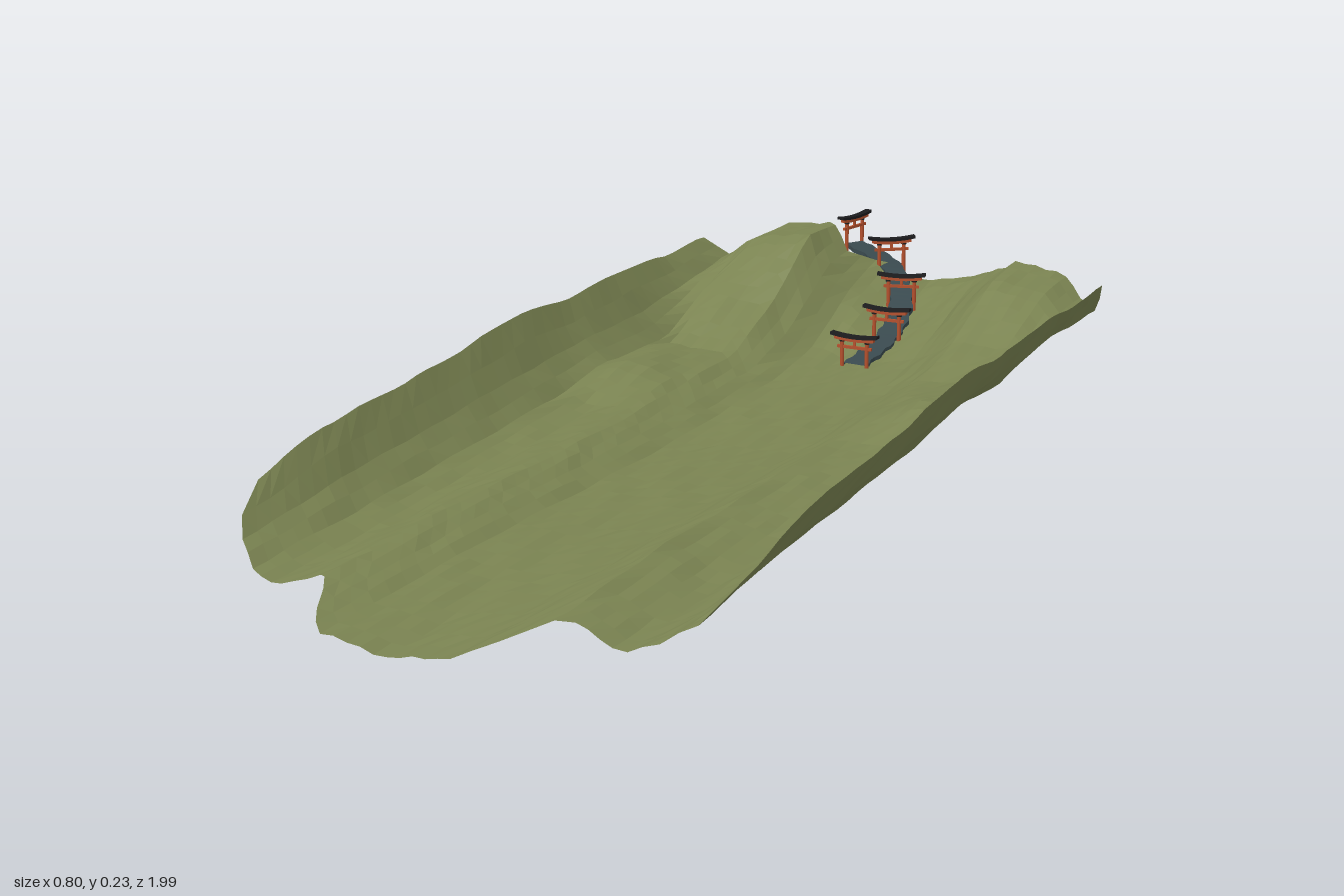
import * as THREE from 'three';

const mat = (color, extra = {}) => new THREE.MeshStandardMaterial({ color, ...extra });
const grass = mat(0x7b8452, { flatShading: true, side: THREE.DoubleSide });
const slate = mat(0x39494e, { flatShading: true, side: THREE.DoubleSide });
const red = mat(0xb5502c);
const black = mat(0x1b1b1d);

// Piecewise linear lookup
function lerpAt(xs, ys, x) {
  let i = 0;
  while (i < xs.length - 2 && x > xs[i + 1]) i++;
  const t = THREE.MathUtils.clamp((x - xs[i]) / (xs[i + 1] - xs[i]), 0, 1);
  return ys[i] + (ys[i + 1] - ys[i]) * t;
}

// Valley cross-sections, from edge to middle; mirrored unless a full row is given
const columns = [-0.4, -0.36, -0.32, -0.27, -0.18, -0.1, 0, 0.1, 0.18, 0.27, 0.32, 0.36, 0.4];
const mirror = (half) => [...half, ...half.slice(0, -1).reverse()];
const sections = [
  [-0.9, [0.18, 0.16, 0.195, 0.215, 0.22, 0.16, 0.12, 0.14, 0.185, 0.175, 0.14, 0.13, 0.17]],
  [-0.75, [0.2, 0.165, 0.195, 0.215, 0.225, 0.125, 0.075, 0.105, 0.175, 0.165, 0.14, 0.13, 0.2]],
  [-0.58, [0.2, 0.15, 0.14, 0.15, 0.13, 0.055, 0.05, 0.06, 0.11, 0.11, 0.11, 0.14, 0.2]],
  [-0.42, mirror([0.21, 0.14, 0.09, 0.088, 0.08, 0.043, 0.045])],
  [-0.2, mirror([0.205, 0.14, 0.105, 0.115, 0.08, 0.042, 0.043])],
  [-0.05, mirror([0.22, 0.14, 0.09, 0.075, 0.078, 0.042, 0.043])],
  [0.2, mirror([0.2, 0.13, 0.085, 0.07, 0.086, 0.052, 0.05])],
  [0.55, mirror([0.19, 0.12, 0.08, 0.062, 0.1, 0.07, 0.06])],
  [0.75, mirror([0.15, 0.105, 0.08, 0.065, 0.1, 0.075, 0.062])],
  [1.0, mirror([0.14, 0.1, 0.08, 0.07, 0.1, 0.08, 0.06])],
];
const rowZ = sections.map((s) => s[0]);
const height = (x, z) => lerpAt(rowZ, sections.map((s) => lerpAt(columns, s[1], x)), z);

// Scalloped outlines of the two ends
const backX = [-0.4, -0.32, -0.3, -0.2, -0.14, -0.09, -0.04, 0, 0.1, 0.16, 0.28, 0.37, 0.4];
const backZ = [-0.75, -0.81, -0.88, -0.89, -0.84, -0.9, -0.88, -0.92, -0.94, -0.89, -0.89, -0.81, -0.73];
const frontX = [0, 0.1, 0.13, 0.17, 0.2, 0.26, 0.31, 0.37, 0.39, 0.4];
const frontZ = [0.985, 0.99, 0.96, 0.87, 0.84, 0.85, 0.84, 0.79, 0.75, 0.7];

function buildTerrain() {
  const nx = 40, nz = 44, pos = [], index = [];
  for (let j = 0; j <= nz; j++) {
    for (let i = 0; i <= nx; i++) {
      const x = -0.4 + (0.8 * i) / nx;
      const z = THREE.MathUtils.lerp(lerpAt(backX, backZ, x), lerpAt(frontX, frontZ, Math.abs(x)), j / nz);
      // slight facet irregularity
      const bump = 0.003 * Math.sin(i * 2.3 + Math.sin(j * 0.6) * 2) * Math.cos(j * 0.5 + i);
      pos.push(x, height(x, z) + bump, z);
      if (i < nx && j < nz) {
        const a = j * (nx + 1) + i, b = a + nx + 1;
        index.push(a, b, a + 1, b, b + 1, a + 1);
      }
    }
  }
  const geo = new THREE.BufferGeometry();
  geo.setAttribute('position', new THREE.Float32BufferAttribute(pos, 3));
  geo.setIndex(index);
  geo.computeVertexNormals();
  const mesh = new THREE.Mesh(geo, grass);
  mesh.name = 'valleyTerrain';
  return mesh;
}

// Gates: x, foot height, z, turn
const gates = [
  [0.005, 0.0, -0.54, 0],
  [0.013, 0.02, -0.67, 0.05],
  [-0.008, 0.053, -0.79, 0.3],
  [-0.07, 0.095, -0.89, 0.65],
  [-0.175, 0.115, -0.955, 1.32],
];

// Winding ribbon of stone following the gates
function buildPath() {
  const curve = new THREE.CatmullRomCurve3(gates.map(([x, y, z]) => new THREE.Vector3(x, y + 0.055, z)));
  const n = 36, pos = [], index = [];
  for (let i = 0; i <= n; i++) {
    const p = curve.getPointAt(i / n), t = curve.getTangentAt(i / n);
    const side = new THREE.Vector3(-t.z, 0, t.x).normalize().multiplyScalar(0.021 + 0.003 * Math.sin(i * 1.9));
    for (const [s, dy] of [[-1, 0], [1, 0], [1, -0.008], [-1, -0.008]])
      pos.push(p.x + s * side.x, p.y + dy, p.z + s * side.z);
    if (i < n) for (let k = 0; k < 4; k++) {
      const a = i * 4 + k, b = i * 4 + ((k + 1) % 4);
      index.push(a, b, a + 4, b, b + 4, a + 4);
    }
  }
  const geo = new THREE.BufferGeometry();
  geo.setAttribute('position', new THREE.Float32BufferAttribute(pos, 3));
  geo.setIndex(index);
  geo.computeVertexNormals();
  const mesh = new THREE.Mesh(geo, slate);
  mesh.name = 'stonePath';
  return mesh;
}

// Beam whose ends sweep upward
function curvedBeam(w, h, d, lift) {
  const geo = new THREE.BoxGeometry(w, h, d, 10, 1, 1), p = geo.attributes.position;
  for (let i = 0; i < p.count; i++) p.setY(i, p.getY(i) + lift * (2 * p.getX(i) / w) ** 2);
  geo.computeVertexNormals();
  return geo;
}

function buildGate([x, y, z, turn], i) {
  const gate = new THREE.Group();
  gate.name = 'gate' + (i + 1);
  const add = (name, geo, material, px, py) => {
    const m = new THREE.Mesh(geo, material);
    m.name = name;
    m.position.set(px, py, 0);
    gate.add(m);
  };
  for (const s of [-1, 1]) {
    add('post', new THREE.CylinderGeometry(0.0035, 0.004, 0.1, 10), red, s * 0.024, 0.05);
    add('postCollar', new THREE.CylinderGeometry(0.005, 0.005, 0.003, 10), black, s * 0.024, 0.097);
  }
  add('tieBeam', new THREE.BoxGeometry(0.066, 0.005, 0.005), red, 0, 0.086);
  add('centreStrut', new THREE.BoxGeometry(0.005, 0.012, 0.004), red, 0, 0.093);
  add('lintel', curvedBeam(0.076, 0.006, 0.009, 0.003), red, 0, 0.1);
  add('capBeam', curvedBeam(0.09, 0.005, 0.014, 0.004), black, 0, 0.1055);
  gate.position.set(x, y, z);
  gate.rotation.y = turn;
  return gate;
}

export function createModel() {
  const model = new THREE.Group();
  model.name = 'valleyWithGates';
  model.add(buildTerrain(), buildPath(), ...gates.map(buildGate));
  return model;
}
